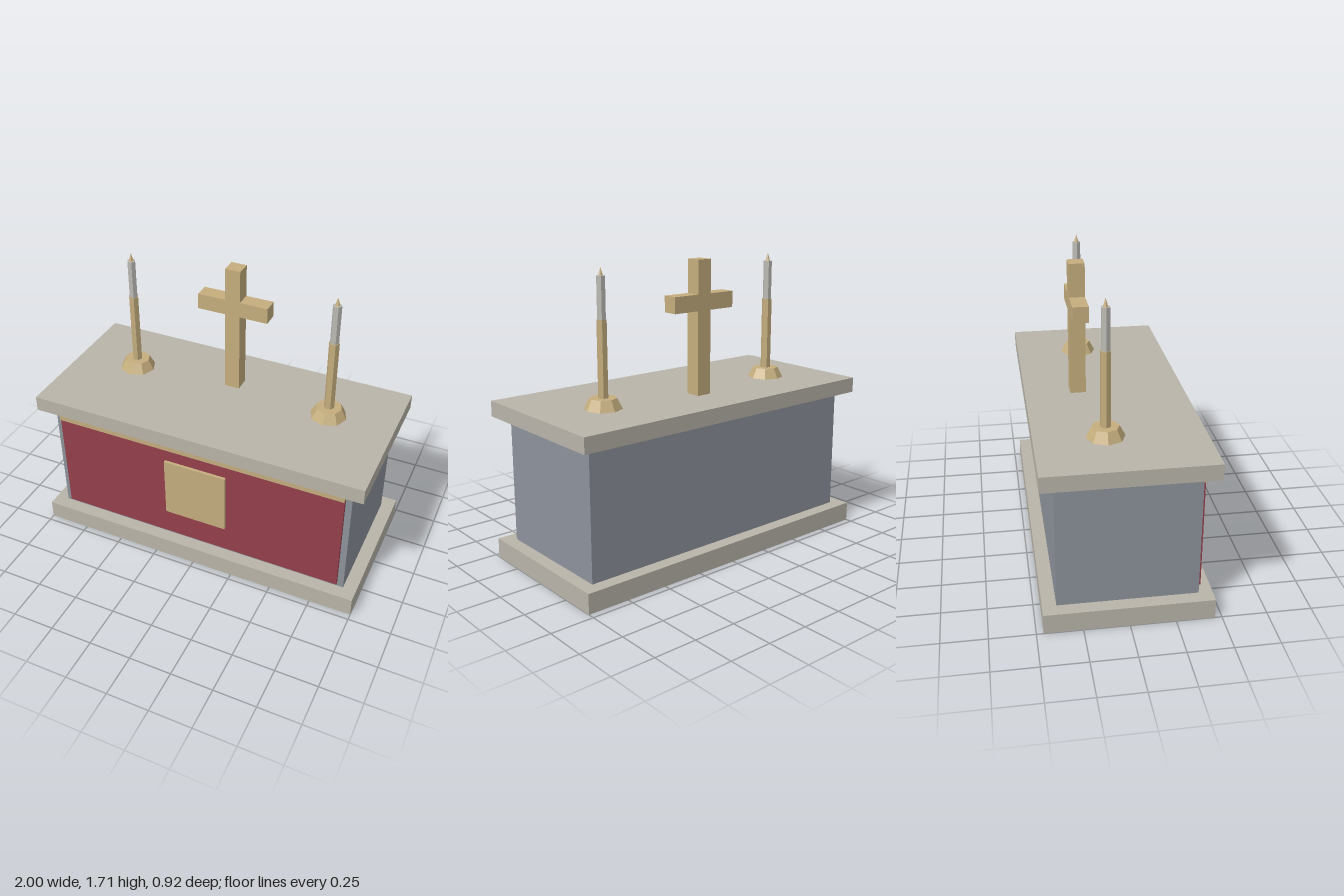
import * as THREE from 'three';

const material = (name, color) => {
  const m = new THREE.MeshStandardMaterial({ color });
  m.name = name;
  return m;
};

export function createModel() {
  const stone = material('pale stone', 0xb9b4a9);
  const slate = material('blue grey stone', 0x8d929b);
  const cloth = material('red cloth', 0x943f4c);
  const gold = material('gold', 0xc5ae7e);
  const wax = material('wax', 0xbdbbb5);

  const model = new THREE.Group();
  model.name = 'altar';

  const add = (parent, name, geometry, mat, x, y, z) => {
    const mesh = new THREE.Mesh(geometry, mat);
    mesh.name = name;
    mesh.position.set(x, y, z);
    parent.add(mesh);
    return mesh;
  };

  // Box given by half width, bottom, top, back and front
  const box = (parent, name, mat, hw, y0, y1, z0, z1) =>
    add(parent, name, new THREE.BoxGeometry(hw * 2, y1 - y0, z1 - z0), mat, 0, (y0 + y1) / 2, (z0 + z1) / 2);

  // Faceted upright round part with its corners on the x axis
  const post = (parent, name, mat, rTop, rBottom, y0, y1, sides) => {
    const geometry = new THREE.CylinderGeometry(rTop, rBottom, y1 - y0, sides)
      .rotateY(Math.PI / 2).toNonIndexed();
    geometry.computeVertexNormals();
    add(parent, name, geometry, mat, 0, (y0 + y1) / 2, 0);
  };

  // Stone table
  box(model, 'plinth', stone, 1, 0, 0.115, -0.462, 0.462);
  box(model, 'body', slate, 0.923, 0.115, 0.85, -0.385, 0.385);
  box(model, 'tableTop', stone, 1, 0.85, 0.94, -0.462, 0.462);

  // Front hanging
  box(model, 'frontCloth', cloth, 0.886, 0.14, 0.775, 0.385, 0.403);
  box(model, 'clothBand', gold, 0.886, 0.775, 0.85, 0.385, 0.412);
  box(model, 'frontPanel', gold, 0.191, 0.313, 0.695, 0.403, 0.42);

  // Cross
  const cross = new THREE.Group();
  cross.name = 'cross';
  model.add(cross);
  box(cross, 'crossUpright', gold, 0.046, 0.94, 1.71, -0.199, -0.109);
  for (const side of [-1, 1]) {
    add(cross, side > 0 ? 'leftArm' : 'rightArm', new THREE.BoxGeometry(0.166, 0.093, 0.09),
      gold, side * 0.129, 1.472, -0.154);
  }

  // Pair of candlesticks
  for (const side of [-1, 1]) {
    const candlestick = new THREE.Group();
    candlestick.name = side > 0 ? 'leftCandlestick' : 'rightCandlestick';
    candlestick.position.set(side * 0.615, 0, -0.078);
    model.add(candlestick);
    post(candlestick, 'foot', gold, 0.075, 0.107, 0.94, 1.0, 8);
    post(candlestick, 'stem', gold, 0.03, 0.03, 1.0, 1.425, 6);
    post(candlestick, 'candle', wax, 0.0255, 0.0255, 1.425, 1.655, 6);
    post(candlestick, 'flame', gold, 0, 0.0145, 1.655, 1.7, 6);
  }

  return model;
}
